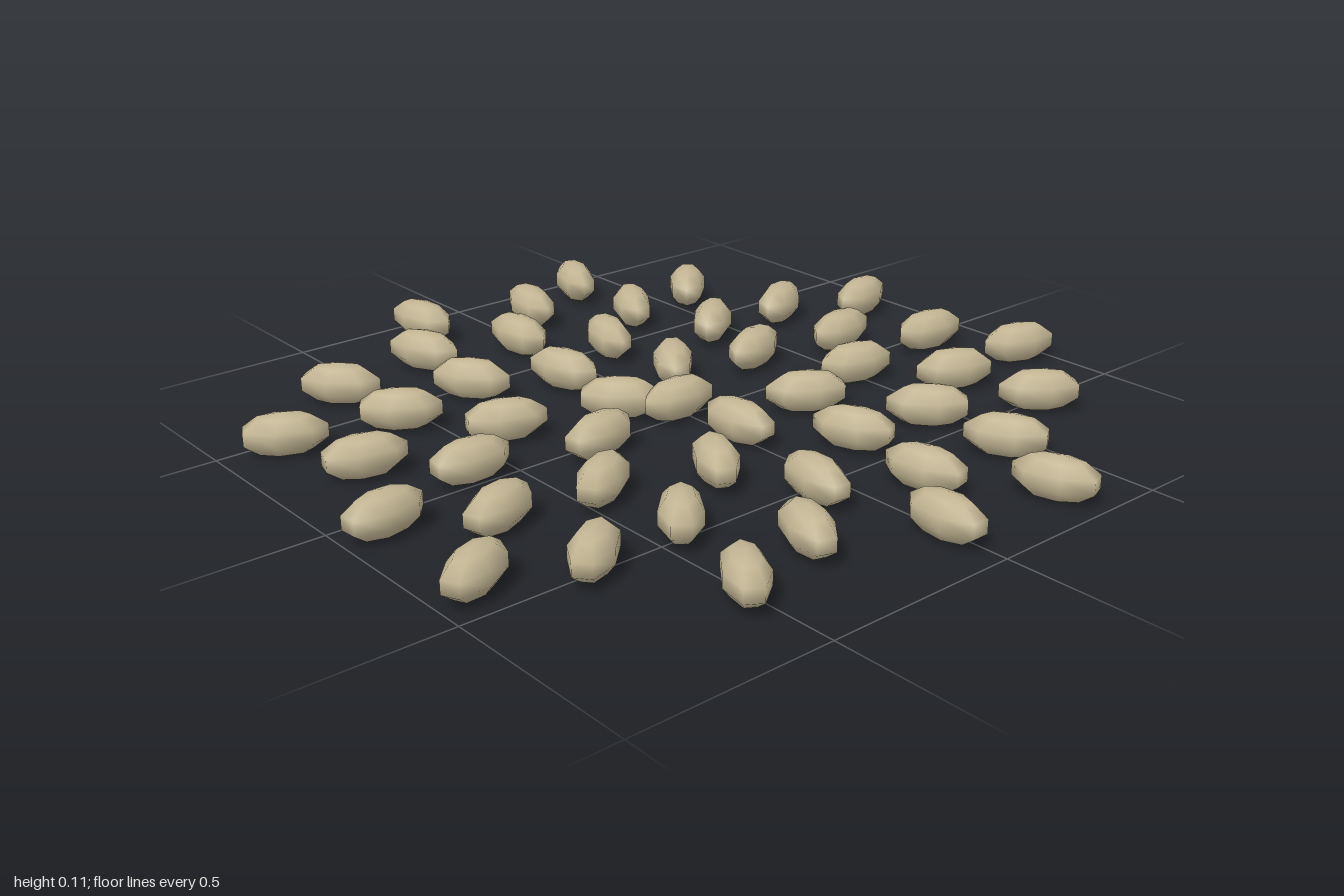
import * as THREE from 'three';

const COUNT = 48;
const SPACING = 0.1425; // spiral growth per square root of index
const GOLDEN_ANGLE = Math.PI * (3 - Math.sqrt(5));
const RADIUS = 0.054;

export function createModel() {
  const model = new THREE.Group();
  model.name = 'seedSpiral';
  const husk = new THREE.MeshStandardMaterial({ color: 0xc2b593 });
  husk.name = 'paleHusk';

  // one low-poly seed, stretched along its radial axis
  const seedShape = new THREE.SphereGeometry(RADIUS, 7, 5);
  seedShape.scale(2, 1, 1);

  // seeds laid flat on a golden-angle spiral, each pointing outward
  const seeds = new THREE.Group();
  seeds.name = 'seeds';
  for (let i = 0; i < COUNT; i++) {
    const angle = i * GOLDEN_ANGLE;
    const r = SPACING * Math.sqrt(i);
    const seed = new THREE.Mesh(seedShape, husk);
    seed.name = `seed${i + 1}`;
    seed.position.set(r * Math.cos(angle), RADIUS, -r * Math.sin(angle));
    seed.rotation.y = angle;
    seeds.add(seed);
  }

  // centre the spiral on the origin
  const centre = new THREE.Box3().setFromObject(seeds, true).getCenter(new THREE.Vector3());
  seeds.position.set(-centre.x, 0, -centre.z);
  model.add(seeds);
  return model;
}
